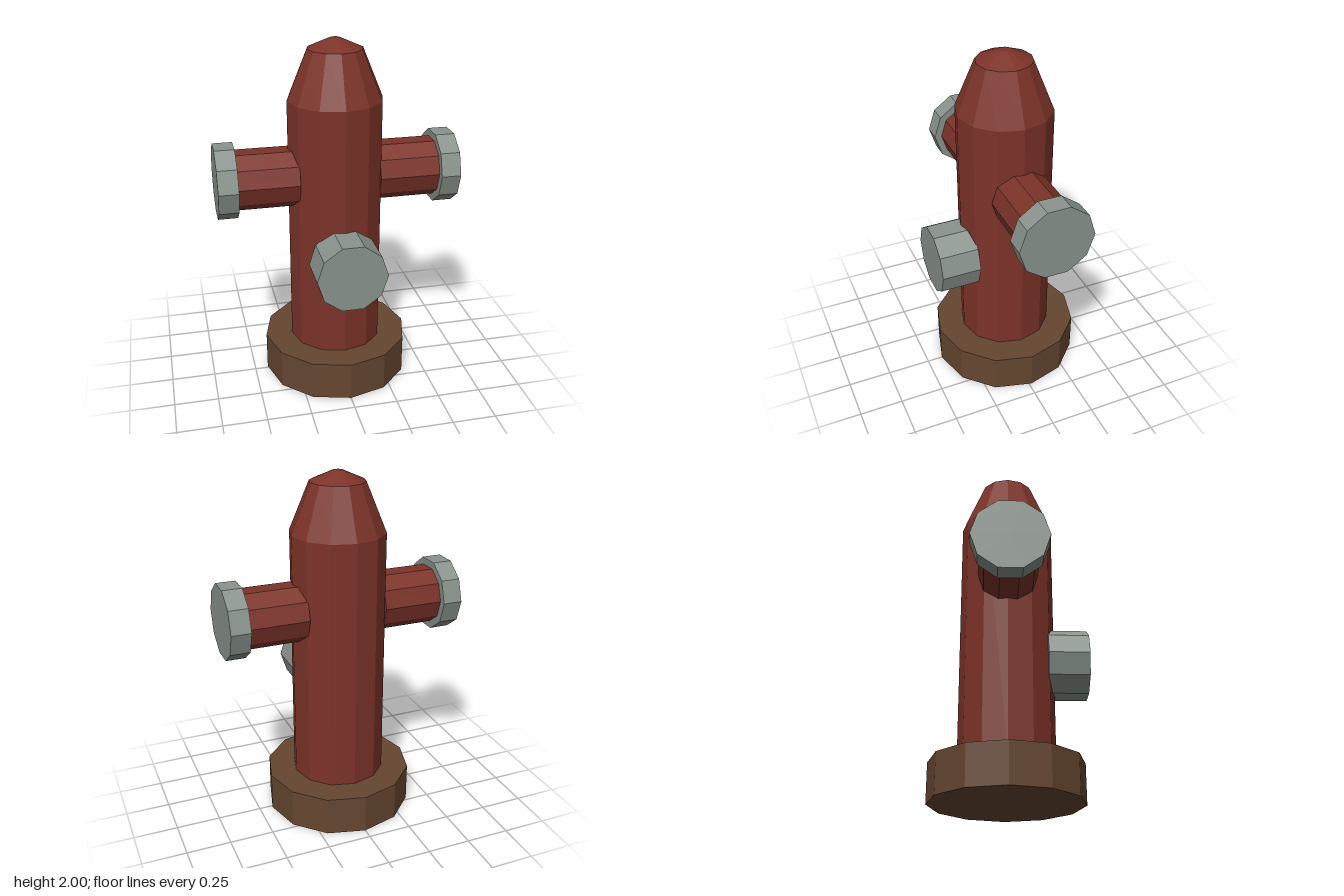
import * as THREE from 'three';

const AXIS_Z = -0.014; // the column stands slightly behind centre to balance the front outlet

export function createModel() {
  const model = new THREE.Group();
  model.name = 'fireHydrant';

  const paint = (name, color) => {
    const m = new THREE.MeshStandardMaterial({ color, flatShading: true });
    m.name = name;
    return m;
  };
  const red = paint('red paint', 0x7c3329);
  const brown = paint('brown base', 0x654630);
  const grey = paint('grey metal', 0x89938c);

  const add = (name, geometry, material, x, y, z) => {
    const mesh = new THREE.Mesh(geometry, material);
    mesh.name = name;
    mesh.position.set(x, y, z);
    model.add(mesh);
  };

  // Twelve-sided foot
  add('base', new THREE.CylinderGeometry(0.424, 0.424, 0.225, 12), brown, 0, 0.1125, AXIS_Z);

  // Column with tapered bonnet and shallow tip
  const profile = [[0, 0.2], [0.267, 0.2], [0.267, 1.67], [0.154, 1.945], [0.03, 2], [0, 2]];
  const column = new THREE.LatheGeometry(profile.map(([r, y]) => new THREE.Vector2(r, y)), 12);
  add('column', column, red, 0, 0, AXIS_Z);

  // Side outlets: ten-sided pipe and wider cap, mirrored
  const sideways = (radius, length) =>
    new THREE.CylinderGeometry(radius, radius, length, 10).rotateZ(Math.PI / 2);
  for (const [side, s] of [['left', 1], ['right', -1]]) {
    add(side + 'Pipe', sideways(0.168, 0.345), red, s * 0.3975, 1.241, AXIS_Z);
    add(side + 'Cap', sideways(0.21, 0.111), grey, s * 0.6195, 1.241, AXIS_Z);
  }

  // Front outlet cap
  const front = new THREE.CylinderGeometry(0.198, 0.198, 0.226, 10)
    .rotateY(Math.PI / 2).rotateX(Math.PI / 2);
  add('frontCap', front, grey, 0, 0.792, 0.324);

  return model;
}
